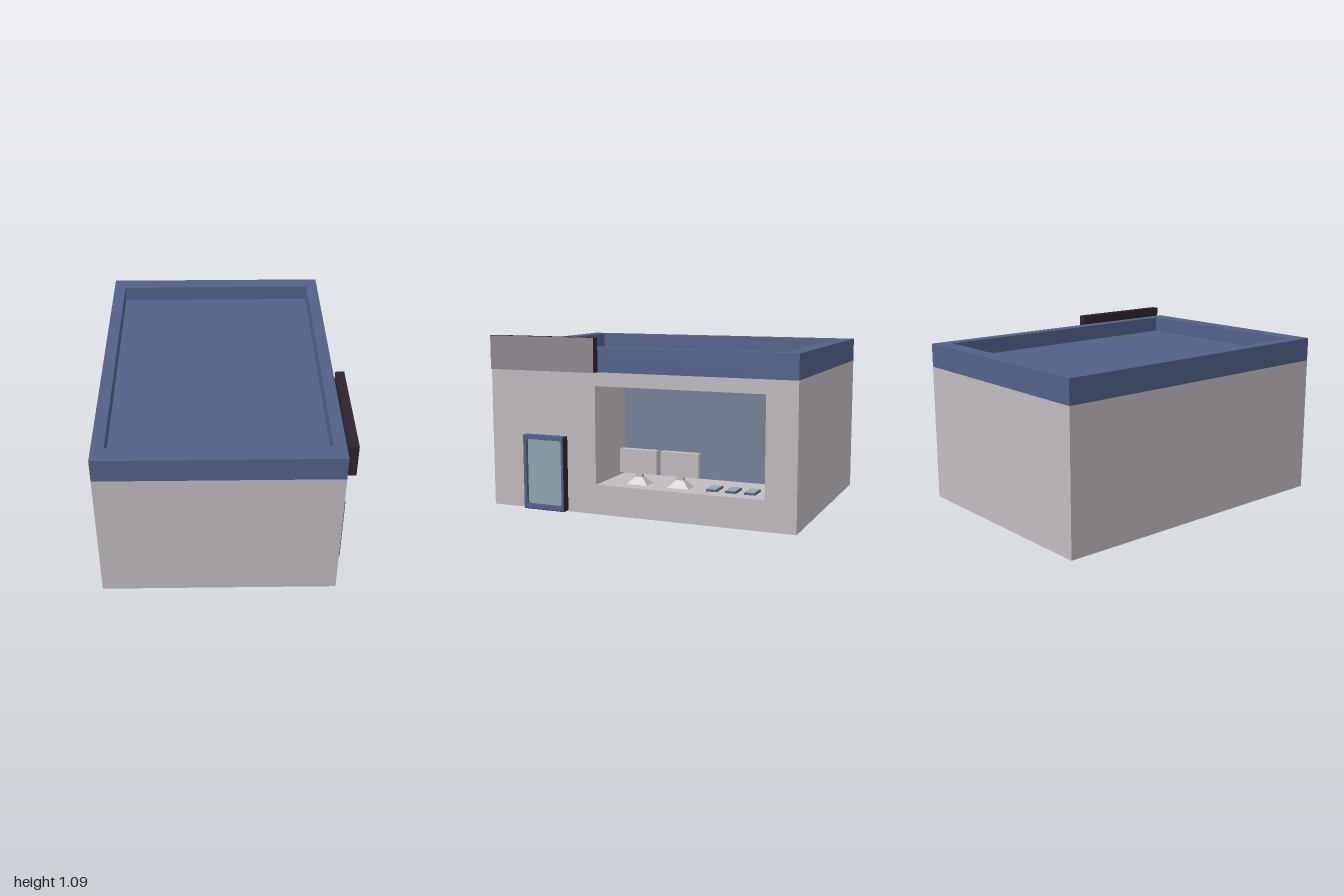
import * as THREE from 'three';

const material = (name, color) => {
  const m = new THREE.MeshStandardMaterial({ color });
  m.name = name;
  return m;
};

export function createModel() {
  const group = new THREE.Group();
  group.name = 'shop';

  const wall = material('wallGrey', 0xc1bbc0);
  const blue = material('trimBlue', 0x526188);
  const backing = material('displayBlue', 0x768099);
  const glass = material('glassTeal', 0x90a6b0);
  const dark = material('signDark', 0x2e232e);
  const signFace = material('signGrey', 0x90888f);

  const add = (name, geometry, mat, parent = group) => {
    const mesh = new THREE.Mesh(geometry, mat);
    mesh.name = name;
    parent.add(mesh);
    return mesh;
  };
  // Box given by its limits on each axis
  const box = (name, x0, x1, y0, y1, z0, z1, mat, parent) => {
    const g = new THREE.BoxGeometry(x1 - x0, y1 - y0, z1 - z0);
    g.translate((x0 + x1) / 2, (y0 + y1) / 2, (z0 + z1) / 2);
    return add(name, g, mat, parent);
  };
  // Rectangular outline with optional rounded corners
  const rect = (path, u0, u1, v0, v1, r = 0) => {
    path.moveTo(u0 + r, v0).lineTo(u1 - r, v0);
    if (r) path.quadraticCurveTo(u1, v0, u1, v0 + r);
    path.lineTo(u1, v1 - r);
    if (r) path.quadraticCurveTo(u1, v1, u1 - r, v1);
    path.lineTo(u0 + r, v1);
    if (r) path.quadraticCurveTo(u0, v1, u0, v1 - r);
    path.lineTo(u0, v0 + r);
    if (r) path.quadraticCurveTo(u0, v0, u0 + r, v0);
    return path;
  };
  const frame = (outer, hole, depth, r = 0) => {
    const shape = rect(new THREE.Shape(), ...outer);
    shape.holes.push(rect(new THREE.Path(), ...hole, r));
    return new THREE.ExtrudeGeometry(shape, { depth, bevelEnabled: false, curveSegments: 5 });
  };
  // Frame standing on the side wall, extruded along x (outline u = -z)
  const sideFrame = (outer, hole, x0, x1, r) =>
    frame(outer, hole, x1 - x0, r).rotateY(Math.PI / 2).translate(x0, 0, 0);

  // Walls: solid rear block and a side slab with the display opening
  const L = -0.745, R = 0.69, inner = 0.275;
  box('mainWalls', L, inner, 0, 0.88, -1, 1, wall);
  add('displayWall', sideFrame([-1, 1, 0, 0.88], [-0.27, 0.81, 0.185, 0.795], inner, R), wall);
  box('displayBackPanel', inner, inner + 0.004, 0.185, 0.795, -0.81, 0.27, backing);

  // Roof parapet with sunken deck
  const parapet = frame([L, R, -1, 1], [-0.67, 0.615, -0.89, 0.895], 0.15);
  add('parapet', parapet.rotateX(-Math.PI / 2).translate(0, 0.88, 0), blue);
  box('roofDeck', -0.68, 0.625, 0.882, 0.93, -0.9, 0.9, blue);

  // Sign board above the door
  box('signBoard', R, 0.745, 0.88, 1.09, 0.25, 0.97,
    [signFace, dark, dark, dark, dark, dark]);

  // Door with recessed rounded glass and dark lower and rear edges
  const door = new THREE.Group();
  door.name = 'door';
  group.add(door);
  add('doorFrame', sideFrame([-0.75, -0.47, 0.01, 0.475], [-0.73, -0.485, 0.038, 0.45], R, 0.743, 0.02),
    blue, door);
  box('doorGlass', R, 0.722, 0.03, 0.46, 0.48, 0.74, glass, door);
  box('doorRearEdge', R, 0.742, 0.01, 0.475, 0.466, 0.47, dark, door);
  box('doorBottomEdge', R, 0.742, 0.006, 0.01, 0.468, 0.75, dark, door);

  // Two monitors on tapered feet
  for (const z of [0.037, -0.235]) {
    const monitor = new THREE.Group();
    monitor.name = 'monitor';
    monitor.position.set(0.55, 0.185, z);
    group.add(monitor);
    box('monitorScreen', -0.02, 0.025, 0.068, 0.215, -0.124, 0.124, wall, monitor);
    box('monitorNeck', -0.015, 0.015, 0.04, 0.07, -0.022, 0.022, wall, monitor);
    const s = Math.SQRT2;
    const foot = new THREE.CylinderGeometry(0.022 * s, 0.07 * s, 0.045, 4, 1, false, Math.PI / 4).toNonIndexed();
    foot.scale(0.7, 1, 1).translate(0, 0.0225, 0);
    foot.computeVertexNormals();
    add('monitorFoot', foot, wall, monitor);
  }

  // Three tablets lying on the display floor
  for (const z of [-0.452, -0.572, -0.69]) {
    const tablet = new THREE.Group();
    tablet.name = 'tablet';
    tablet.position.set(0.54, 0.185, z);
    group.add(tablet);
    box('tabletBody', -0.06, 0.06, 0, 0.012, -0.033, 0.033, blue, tablet);
    box('tabletScreen', -0.052, 0.052, 0.012, 0.015, -0.026, 0.026, glass, tablet);
  }

  return group;
}
